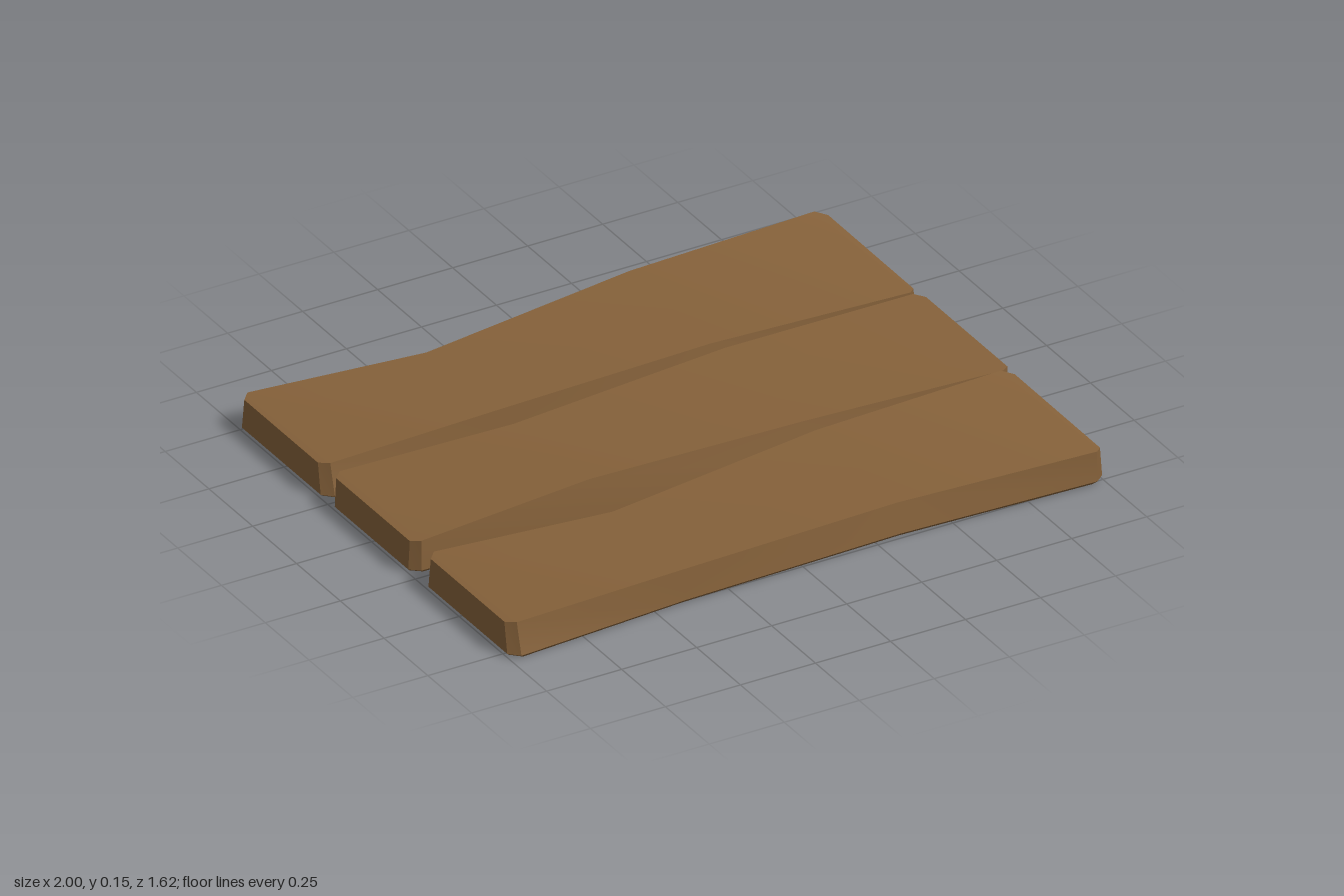
import * as THREE from 'three';
import { toCreasedNormals } from 'three/addons/utils/BufferGeometryUtils.js';

// Plank edges, six stations from the -x end to the +x end. Each point is [x, y, z].
const baseX = [-1, -0.97, -0.4, 0.33, 0.97, 1];
const edge = (xs, ys, zs) => xs.map((x, i) => [x, ys[i], zs[i]]);
const flat = (y) => Array(6).fill(y);

// Closed ring: along the back edge, then return along the front edge
const ring = (back, front) => [...back, ...[...front].reverse()];

function plankGeometry({ baseBack, baseFront, topBack, topFront }) {
  const pos = [];
  const quad = (a, b, c, d) => pos.push(...a, ...b, ...c, ...a, ...c, ...d);
  const inset = 0.012;
  const rim = ring(edge(baseX, flat(inset), baseBack), edge(baseX, flat(inset), baseFront));
  const midZ = (baseBack[2] + baseFront[2]) / 2;
  // narrow chamfer round the open underside
  const foot = rim.map(([x, , z]) => [x - Math.sign(x) * inset * (Math.abs(x) > 0.9 ? 1 : 0), 0, z - Math.sign(z - midZ) * inset]);
  const crown = ring(topBack, topFront);
  for (const [low, high] of [[foot, rim], [rim, crown]]) {
    low.forEach((p, i) => {
      const j = (i + 1) % low.length;
      quad(p, high[i], high[j], low[j]);
    });
  }
  // worn, gently twisted walking surface
  for (let i = 0; i < 5; i++) quad(topBack[i], topFront[i], topFront[i + 1], topBack[i + 1]);
  const geo = new THREE.BufferGeometry();
  geo.setAttribute('position', new THREE.Float32BufferAttribute(pos, 3));
  return toCreasedNormals(geo, 0.35);
}

export function createModel() {
  const group = new THREE.Group();
  group.name = 'plankFloor';
  const wood = new THREE.MeshStandardMaterial({ color: 0x85613a, side: THREE.DoubleSide });
  wood.name = 'brownWood';

  // Outer planks share one shape, raised at the back of the +x end
  const outer = plankGeometry({
    baseBack: [0.325, 0.3, 0.32, 0.255, 0.26, 0.285],
    baseFront: [0.775, 0.805, 0.765, 0.745, 0.77, 0.745],
    topBack: edge([-0.995, -0.97, -0.4, 0.33, 0.93, 0.96], [0.105, 0.11, 0.1, 0.115, 0.152, 0.145], [0.33, 0.305, 0.35, 0.26, 0.287, 0.315]),
    topFront: edge([-0.995, -0.97, -0.4, 0.33, 0.97, 0.993], [0.105, 0.11, 0.115, 0.105, 0.11, 0.105], [0.75, 0.778, 0.763, 0.725, 0.768, 0.745]),
  });
  // Middle plank, with one bump on each long edge
  const middle = plankGeometry({
    baseBack: [-0.21, -0.235, -0.22, -0.28, -0.285, -0.255],
    baseFront: [0.21, 0.235, 0.232, 0.212, 0.237, 0.212],
    topBack: edge([-0.995, -0.97, -0.4, 0.33, 0.97, 0.997], [0.105, 0.11, 0.11, 0.13, 0.112, 0.108], [-0.21, -0.233, -0.217, -0.26, -0.283, -0.255]),
    topFront: edge([-0.995, -0.97, -0.4, 0.33, 0.97, 0.997], [0.105, 0.11, 0.143, 0.11, 0.112, 0.108], [0.21, 0.233, 0.218, 0.19, 0.23, 0.21]),
  });

  for (const [name, geo, z] of [['frontPlank', outer, 0], ['middlePlank', middle, 0], ['backPlank', outer, -1.065]]) {
    const mesh = new THREE.Mesh(geo, wood);
    mesh.name = name;
    mesh.position.z = z;
    group.add(mesh);
  }
  return group;
}
